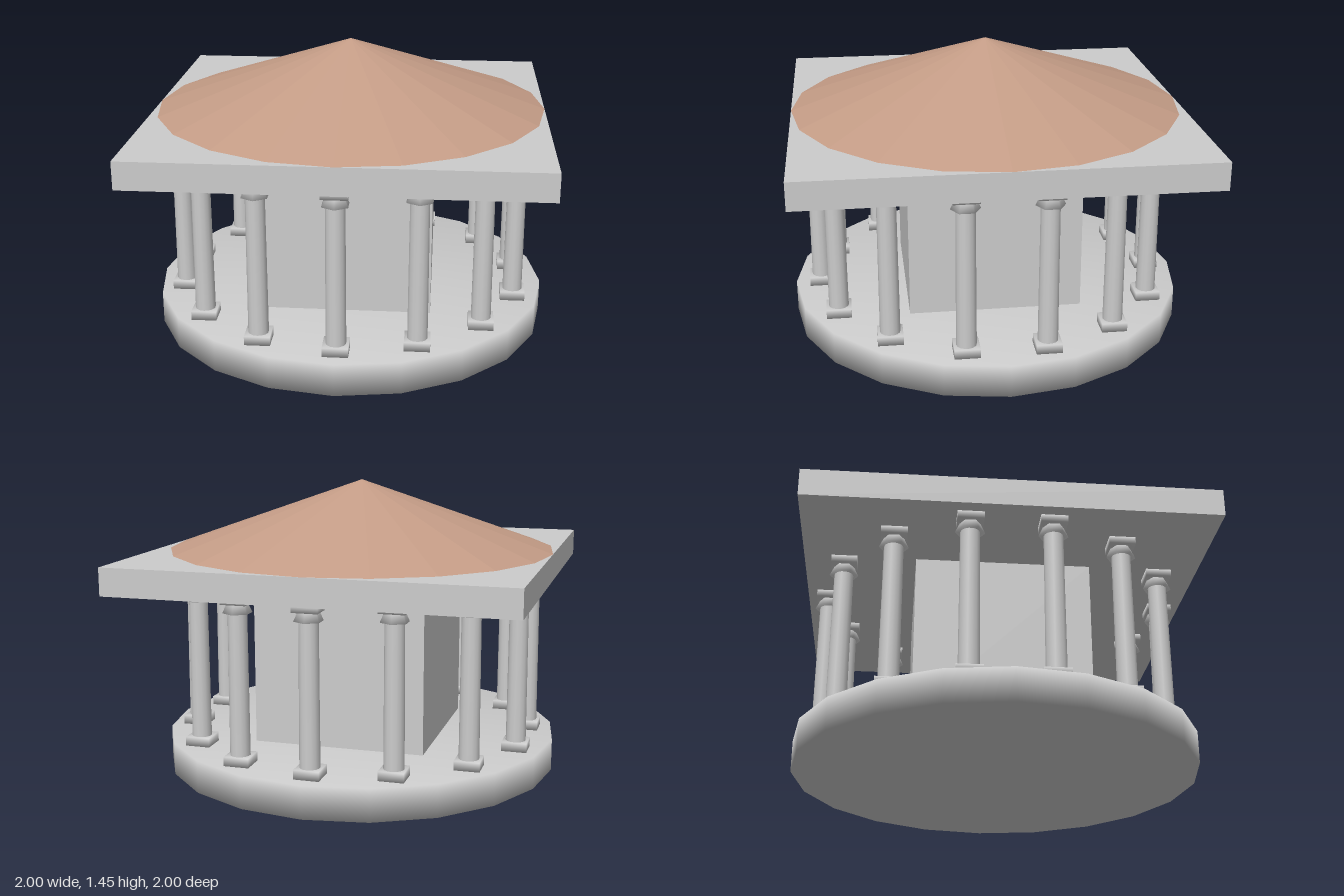
import * as THREE from 'three';
import { mergeVertices } from 'three/addons/utils/BufferGeometryUtils.js';

const stone = new THREE.MeshStandardMaterial({ color: 0xcccccc });
const flatStone = new THREE.MeshStandardMaterial({ color: 0xcccccc, flatShading: true });
const tile = new THREE.MeshStandardMaterial({ color: 0xc49c86, flatShading: true });

// Share vertices across all edges so the whole solid shades softly.
function soften(geometry) {
  geometry.deleteAttribute('normal');
  geometry.deleteAttribute('uv');
  const merged = mergeVertices(geometry);
  merged.computeVertexNormals();
  return merged;
}

// Place a geometry of height y1 - y0 so that it starts at y0.
function part(name, geometry, material, y0, y1) {
  const mesh = new THREE.Mesh(geometry, material);
  mesh.name = name;
  mesh.position.y = (y0 + y1) / 2;
  return mesh;
}

export function createModel() {
  const temple = new THREE.Group();
  temple.name = 'roundTemple';

  // Twenty-sided platform, inner chamber, square slab and roof
  temple.add(
    part('platform', soften(new THREE.CylinderGeometry(1, 1, 0.16, 20)), stone, 0, 0.16),
    part('chamber', new THREE.BoxGeometry(0.86, 0.81, 0.86), flatStone, 0.16, 0.97),
    part('roofSlab', new THREE.BoxGeometry(1.95, 0.135, 1.95), flatStone, 0.97, 1.105),
    part('roof', new THREE.ConeGeometry(0.975, 0.345, 20), tile, 1.105, 1.45)
  );

  // Column parts, shared by the whole ring
  const plinth = soften(new THREE.BoxGeometry(0.123, 0.045, 0.123));
  const shaft = new THREE.CylinderGeometry(0.046, 0.049, 0.7, 14);
  const capital = soften(new THREE.CylinderGeometry(0.045, 0.07, 0.055, 6));
  const abacus = soften(new THREE.BoxGeometry(0.125, 0.035, 0.125));

  // Ring of fourteen columns, all square to the axes
  const count = 14;
  const radius = 0.866;
  for (let i = 0; i < count; i++) {
    const angle = (i / count) * Math.PI * 2;
    const column = new THREE.Group();
    column.name = 'column';
    column.position.set(radius * Math.sin(angle), 0, radius * Math.cos(angle));
    column.add(
      part('plinth', plinth, stone, 0.16, 0.205),
      part('shaft', shaft, stone, 0.2, 0.9),
      part('capital', capital, stone, 0.89, 0.945),
      part('abacus', abacus, stone, 0.935, 0.97)
    );
    temple.add(column);
  }
  return temple;
}
